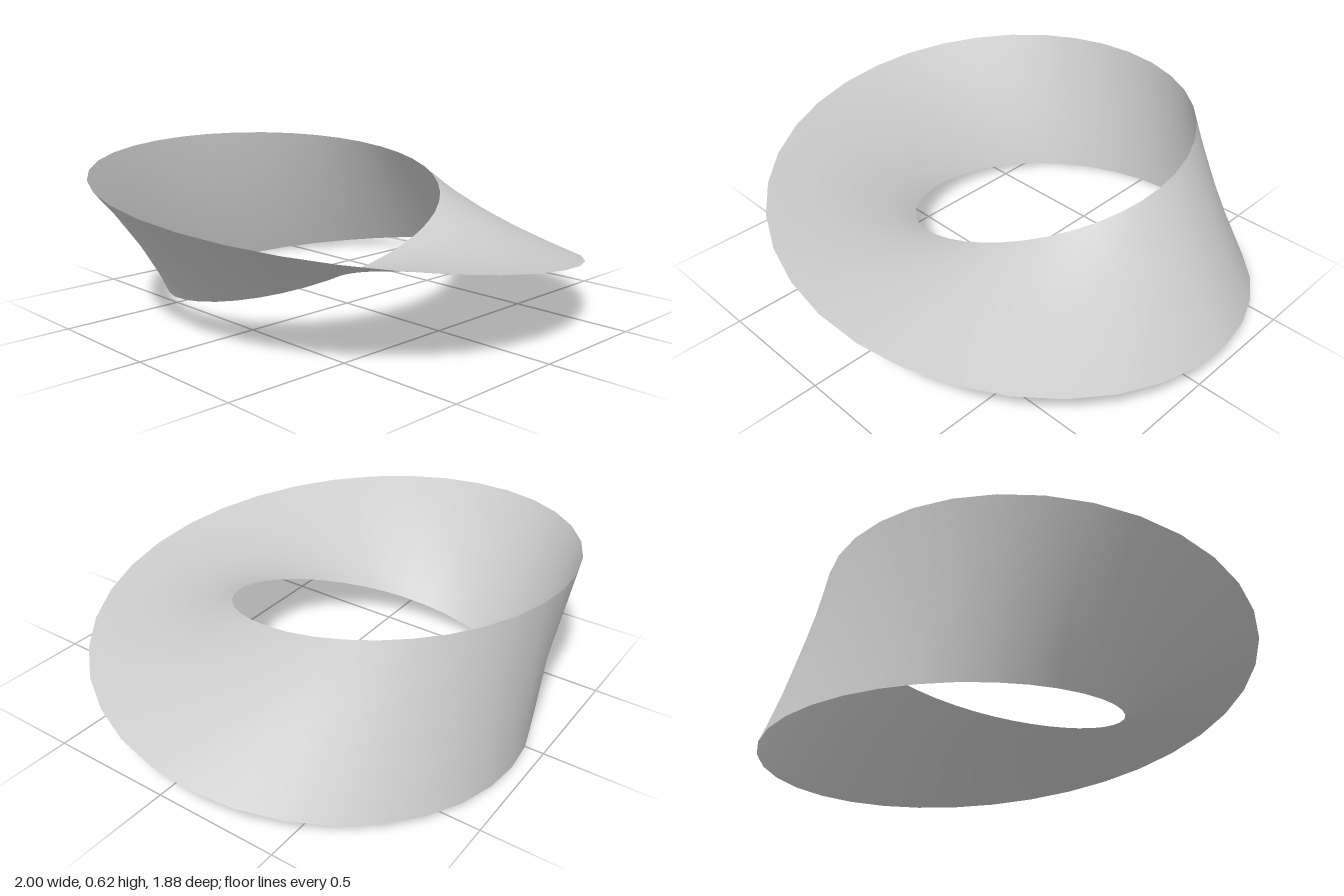
import * as THREE from 'three';
import { ParametricGeometry } from 'three/addons/geometries/ParametricGeometry.js';

const RADIUS = 0.777; // centre line of the loop
const HALF_WIDTH = 0.311; // half the width of the band
const OFFSET_Z = -0.148; // puts the bounds at the origin

// Point on a band that makes half a turn in one trip round the loop.
function bandPoint(u, v, target) {
  const angle = (u * 2 - 1) * Math.PI; // 0 is the front, +x is positive
  const across = (v * 2 - 1) * HALF_WIDTH;
  const r = RADIUS + across * Math.cos(angle / 2);
  target.set(
    r * Math.sin(angle),
    HALF_WIDTH - across * Math.sin(angle / 2),
    r * Math.cos(angle) + OFFSET_Z
  );
}

export function createModel() {
  const group = new THREE.Group();
  group.name = 'mobiusStrip';

  // One thin twisted band; its seam is the upright section at the back
  const material = new THREE.MeshStandardMaterial({ color: 0xcccccc, side: THREE.DoubleSide });
  const band = new THREE.Mesh(new ParametricGeometry(bandPoint, 36, 8), material);
  band.name = 'twistedBand';
  group.add(band);

  return group;
}
